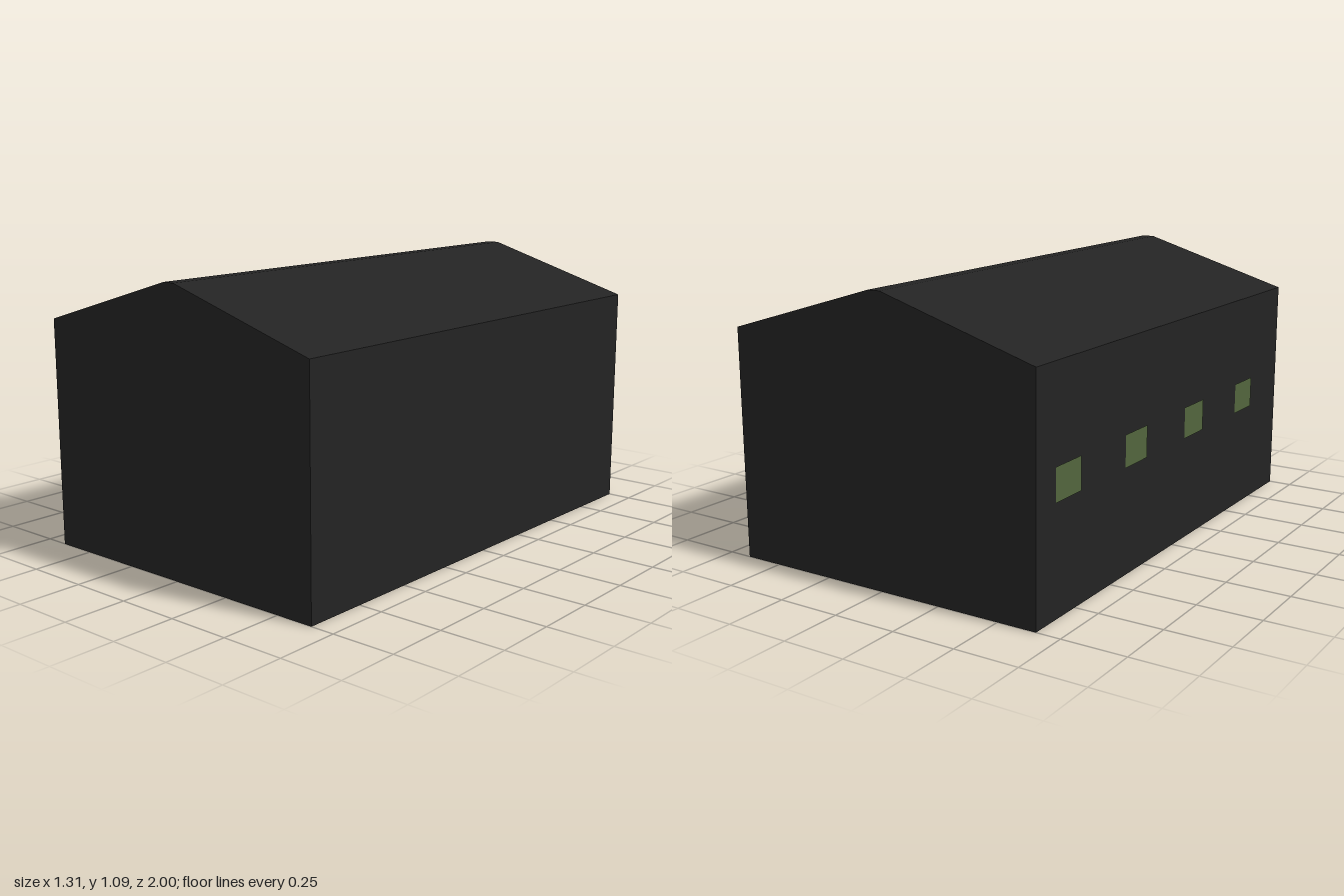
import * as THREE from 'three';

const LENGTH = 2;

export function createModel() {
  const model = new THREE.Group();
  model.name = 'shed';
  const charcoal = new THREE.MeshStandardMaterial({ color: 0x232323, side: THREE.DoubleSide });
  charcoal.name = 'charcoal cladding';
  const green = new THREE.MeshStandardMaterial({ color: 0x52653d });
  green.name = 'moss green glass';

  // Cross-section from the foot of the +x wall, over the ridge, to the -x wall
  const profile = [
    [0.655, 0], [0.655, 0.9], [0.025, 1.09],
    [-0.025, 1.09], [-0.655, 0.9], [-0.655, 0],
  ].map(([x, y]) => new THREE.Vector2(x, y));

  // Long panels: one flat sheet per profile edge, open underneath
  const names = ['leftWall', 'leftRoof', 'ridge', 'rightRoof', 'rightWall'];
  names.forEach((name, i) => {
    const a = profile[i], b = profile[i + 1];
    const panel = new THREE.Mesh(new THREE.PlaneGeometry(a.distanceTo(b), LENGTH), charcoal);
    panel.name = name;
    panel.position.set((a.x + b.x) / 2, (a.y + b.y) / 2, 0);
    panel.up.set(0, 0, 1);
    panel.lookAt(panel.position.x + b.y - a.y, panel.position.y - (b.x - a.x), 0);
    model.add(panel);
  });

  // Gable ends
  const gable = new THREE.ShapeGeometry(new THREE.Shape(profile));
  for (const side of [1, -1]) {
    const end = new THREE.Mesh(gable, charcoal);
    end.name = side > 0 ? 'frontGable' : 'backGable';
    end.position.z = side * LENGTH / 2;
    if (side < 0) end.rotation.y = Math.PI;
    model.add(end);
  }

  // Row of small windows on the outside of the -x wall
  const pane = new THREE.PlaneGeometry(0.165, 0.125);
  for (let i = 0; i < 4; i++) {
    const win = new THREE.Mesh(pane, green);
    win.name = 'window' + (i + 1);
    win.position.set(-0.658, 0.48, -0.8 + i * 0.48);
    win.rotation.y = -Math.PI / 2;
    model.add(win);
  }
  return model;
}
